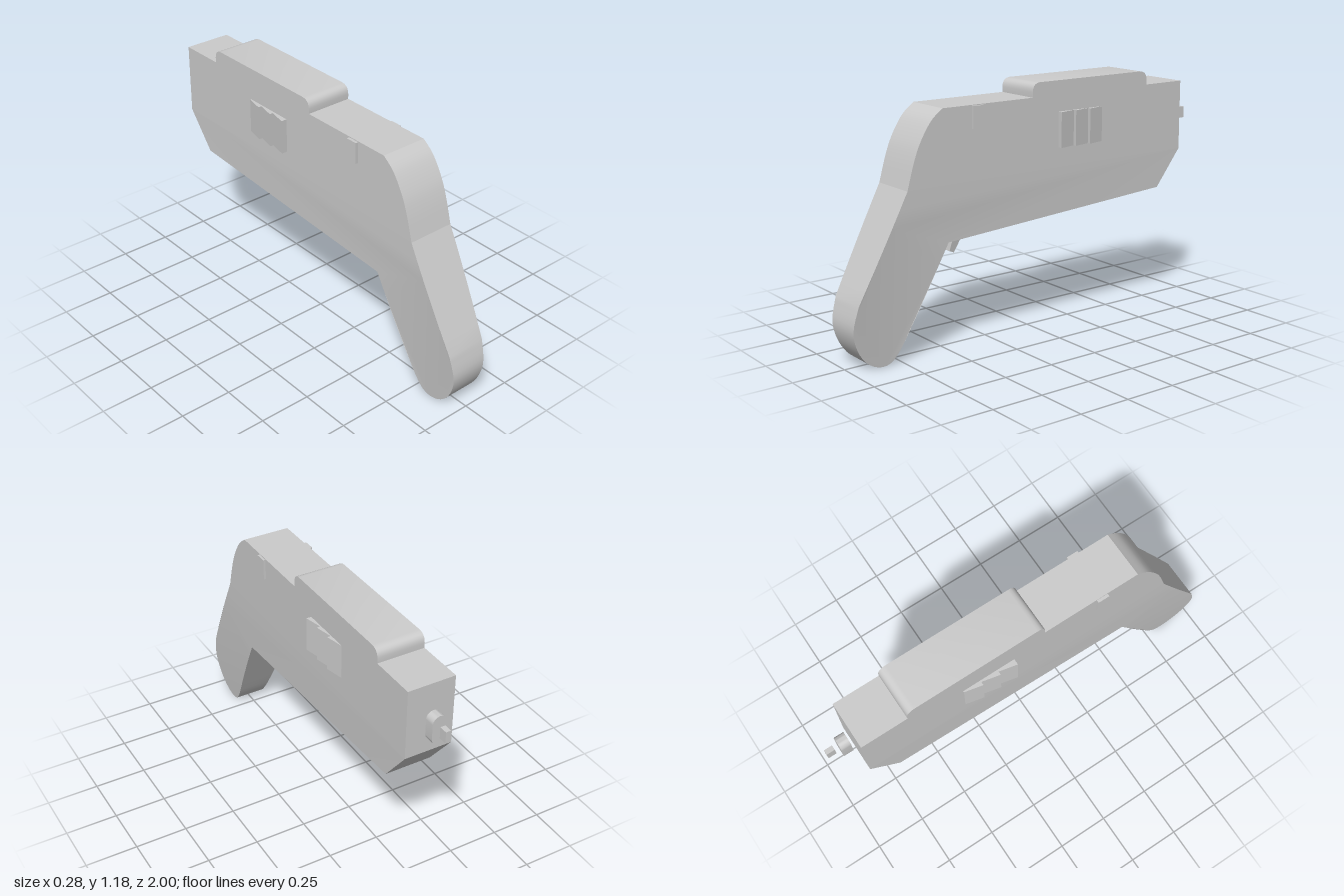
import * as THREE from 'three';
import { toCreasedNormals } from 'three/addons/utils/BufferGeometryUtils.js';

const HALF = 0.115;
const mat = new THREE.MeshStandardMaterial({ color: 0xcccccc });
const pts = (list) => list.map(([a, b]) => new THREE.Vector2(a, b));

// Extrude a (z, y) side profile across x, centred; an optional rule gives the half width at each height
function sideExtrude(points, half, widthAt) {
  const geo = new THREE.ExtrudeGeometry(new THREE.Shape(points), { depth: half * 2, bevelEnabled: false });
  geo.translate(0, 0, -half);
  geo.rotateY(-Math.PI / 2);
  if (widthAt) {
    const p = geo.attributes.position;
    for (let i = 0; i < p.count; i++) p.setX(i, Math.sign(p.getX(i)) * widthAt(p.getY(i)));
  }
  return toCreasedNormals(geo, 0.6);
}

export function createModel() {
  const group = new THREE.Group();
  const add = (name, geo, x = 0, y = 0, z = 0) => {
    const mesh = new THREE.Mesh(geo, mat);
    mesh.name = name;
    mesh.position.set(x, y, z);
    group.add(mesh);
    return mesh;
  };

  // Upper body with the raised, rounded top cover
  const upper = new THREE.Shape();
  upper.moveTo(-0.87, 0.78);
  upper.lineTo(-0.87, 1.12);
  upper.lineTo(-0.642, 1.12);
  upper.lineTo(-0.642, 1.145);
  upper.quadraticCurveTo(-0.64, 1.185, -0.6, 1.187);
  upper.lineTo(0.015, 1.187);
  upper.quadraticCurveTo(0.053, 1.185, 0.055, 1.145);
  upper.lineTo(0.055, 1.12);
  upper.lineTo(0.545, 1.12);
  upper.splineThru(pts([[0.605, 1.07], [0.66, 0.985], [0.695, 0.9], [0.73, 0.78]]));
  add('upperBody', sideExtrude(upper.getPoints(5), HALF));

  // Lower body and grip, narrowing toward the butt
  const tip = new THREE.SplineCurve(pts([
    [0.735, 0.11], [0.765, 0.06], [0.8, 0.018], [0.845, 0.003], [0.9, 0.018],
    [0.95, 0.06], [0.988, 0.13], [1.0, 0.21], [0.975, 0.31],
  ])).getPoints(28);
  const line = (a, b, n) => Array.from({ length: n }, (_, i) =>
    new THREE.Vector2(...a).lerp(new THREE.Vector2(...b), i / n));
  const lower = [
    ...pts([[0.73, 0.78], [-0.87, 0.78], [-0.73, 0.6]]),
    ...line([0.52, 0.52], [0.735, 0.11], 5),
    ...tip,
    ...line([0.975, 0.31], [0.73, 0.78], 6).slice(1),
  ];
  add('lowerBodyAndGrip', sideExtrude(lower, HALF, (y) => HALF - 0.043 * ((0.78 - y) / 0.78) ** 2));

  // Trigger, tapering to its tip
  add('trigger', sideExtrude(pts([[0.44, 0.55], [0.39, 0.55], [0.395, 0.525], [0.437, 0.442], [0.461, 0.452]]),
    0.04, (y) => 0.027 + (y - 0.442) * 0.16));

  // Wedge ribs and small clip on each side
  for (const [side, s, z0, y0, out] of [['left', 1, -0.095, 0.875, 0.139], ['right', -1, -0.105, 0.862, 0.144]]) {
    for (let i = 0; i < 3; i++) {
      const back = z0 - i * 0.088;
      const peak = out - i * 0.002;
      const wedge = new THREE.Shape(pts([
        [s * 0.1, -back], [s * peak, -back], [s * (peak - 0.019), 0.088 - back], [s * 0.1, 0.088 - back],
      ]));
      const geo = new THREE.ExtrudeGeometry(wedge, { depth: 0.167, bevelEnabled: false });
      geo.rotateX(-Math.PI / 2);
      add(`${side}Rib${i + 1}`, geo, 0, y0, 0);
    }
    const reach = s > 0 ? 0.126 : 0.129;
    add(`${side}Clip`, new THREE.BoxGeometry(0.04, 0.102, 0.057), s * (reach - 0.02), 1.065, s > 0 ? 0.362 : 0.355);
  }

  // Muzzle plate with rounded ends, and the emitter tip floating ahead of it
  const plate = new THREE.Shape();
  plate.absarc(0, 0.037, 0.034, 0, Math.PI, false);
  plate.absarc(0, -0.037, 0.034, Math.PI, Math.PI * 2, false);
  const plateGeo = new THREE.ExtrudeGeometry(plate, { depth: 0.048, bevelEnabled: false, curveSegments: 8 });
  add('muzzlePlate', toCreasedNormals(plateGeo, 0.6), 0, 0.931, -0.938);
  add('emitterTip', new THREE.BoxGeometry(0.024, 0.056, 0.04), 0, 0.938, -0.98);

  return group;
}
